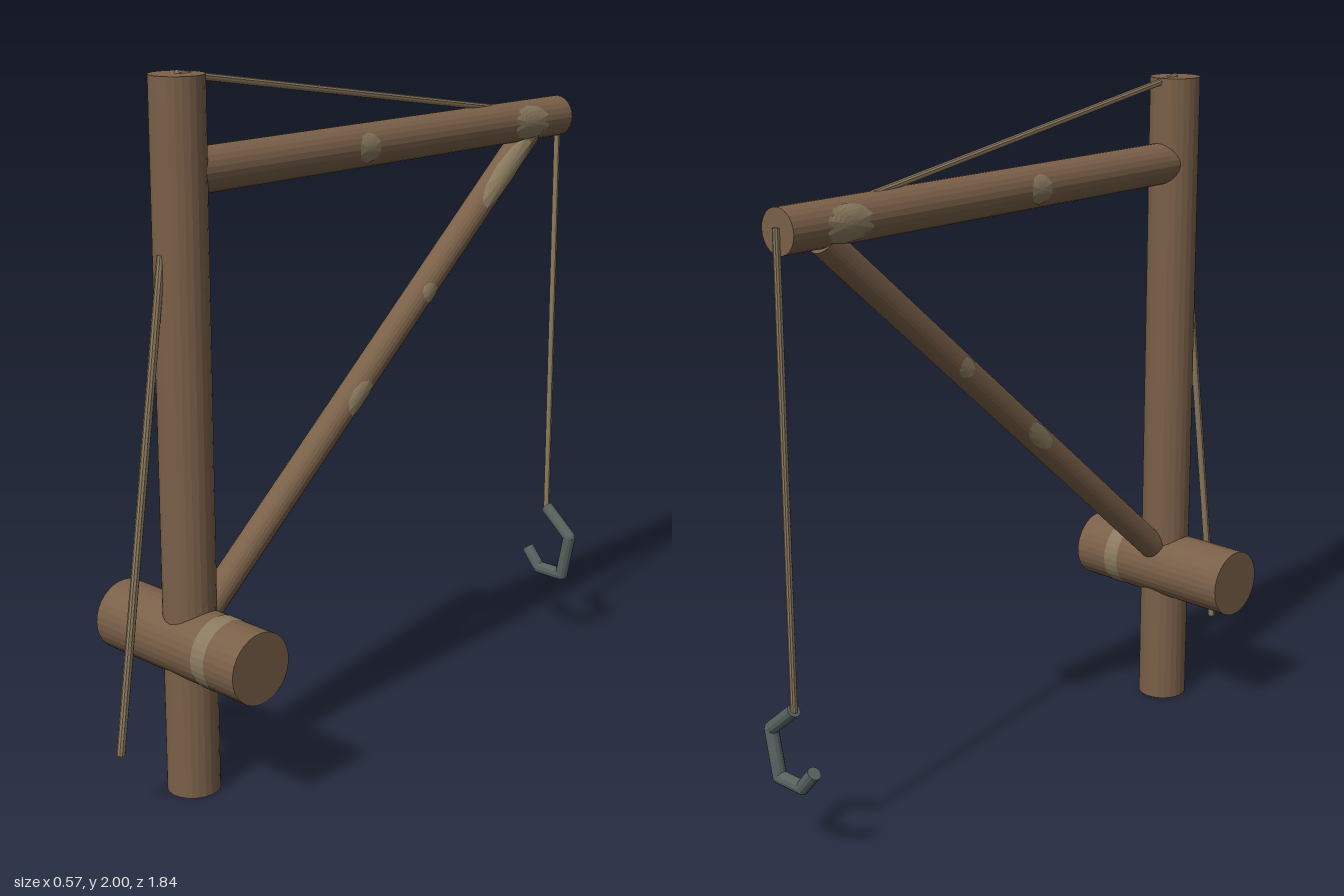
import * as THREE from 'three';

const flat = (name, color) => new THREE.MeshStandardMaterial({ name, color, flatShading: true });

export function createModel() {
  const wood = flat('wood', 0x7a6049);
  const worn = flat('wornWood', 0x8a7a5f);
  const rope = flat('rope', 0x8c7a5e);
  const iron = flat('iron', 0x56625f);
  const model = new THREE.Group();
  model.name = 'postCrane';

  const V = (x, y, z) => new THREE.Vector3(x, y, z);

  // Straight round bar from a to b, in a group whose local y runs along the bar
  function rod(name, a, b, r, material, sides = 24, parent = model) {
    const group = new THREE.Group();
    const length = a.distanceTo(b);
    const mesh = new THREE.Mesh(new THREE.CylinderGeometry(r, r, length, sides), material);
    mesh.name = name + 'Bar';
    mesh.position.y = length / 2;
    group.name = name;
    group.add(mesh);
    group.position.copy(a);
    group.quaternion.setFromUnitVectors(V(0, 1, 0), b.clone().sub(a).normalize());
    parent.add(group);
    return group;
  }

  // Thin rounded patch wrapped on the side of a bar
  function patch(bar, r, along, halfLength, angle, halfAngle) {
    const geo = new THREE.RingGeometry(0, 1, 10, 5);
    const p = geo.attributes.position;
    for (let i = 0; i < p.count; i++) {
      const phi = angle - p.getX(i) * halfAngle;
      const v = along + p.getY(i) * halfLength;
      p.setXYZ(i, (r + 0.0015) * Math.cos(phi), v, (r + 0.0015) * Math.sin(phi));
    }
    geo.computeVertexNormals();
    const mesh = new THREE.Mesh(geo, worn);
    mesh.name = 'wornPatch';
    bar.add(mesh);
  }

  // Timber frame
  const postZ = 0.655;
  rod('post', V(0, 0, postZ), V(0, 1.99, postZ), 0.075, wood);
  const boom = rod('boom', V(0, 1.735, postZ), V(0, 1.735, -0.895), 0.062, wood);
  const brace = rod('brace', V(0, 0.46, postZ), V(0, 1.695, -0.75), 0.042, wood);
  rod('drum', V(-0.283, 0.443, postZ), V(0.283, 0.443, postZ), 0.102, wood, 32);

  // Worn places on both sides of the boom and brace
  for (const side of [0, Math.PI]) {
    patch(boom, 0.062, 0.65, 0.042, side, 0.75);
    patch(boom, 0.062, 1.36, 0.08, side, 0.95);
    patch(brace, 0.042, 0.84, 0.06, side, 0.8);
    patch(brace, 0.042, 1.235, 0.03, side, 0.75);
  }
  patch(brace, 0.042, 1.7, 0.14, 0.35, 0.9);

  // Pale band around the drum
  const band = new THREE.Mesh(new THREE.CylinderGeometry(0.1035, 0.1035, 0.052, 32, 1, true), worn);
  band.name = 'drumBand';
  band.rotation.z = -Math.PI / 2;
  band.position.set(0.142, 0.443, postZ);
  model.add(band);

  // Ropes: stay over the boom, tail in front of the post, and the hanging line
  rod('stayRope', V(0, 1.99, postZ), V(0, 1.78, -0.63), 0.01, rope, 10);
  rod('tailRope', V(0, 0.185, 0.912), V(0, 1.53, 0.722), 0.012, rope, 10);
  rod('hangingRope', V(0, 0.44, -0.9), V(0, 1.745, -0.9), 0.01, rope, 10);

  // Angular iron hook
  const hook = new THREE.Group();
  hook.name = 'hook';
  model.add(hook);
  const bends = [[0, 0.445], [0.098, 0.362], [0.07, 0.226], [-0.025, 0.226], [-0.075, 0.285]]
    .map(([x, y]) => V(x, y, -0.9));
  for (let i = 0; i < bends.length - 1; i++) {
    rod('hookSegment', bends[i], bends[i + 1], 0.02, iron, 12, hook);
    if (i === 0) continue;
    const joint = new THREE.Mesh(new THREE.SphereGeometry(0.02, 12, 8), iron);
    joint.name = 'hookBend';
    joint.position.copy(bends[i]);
    hook.add(joint);
  }
  return model;
}
